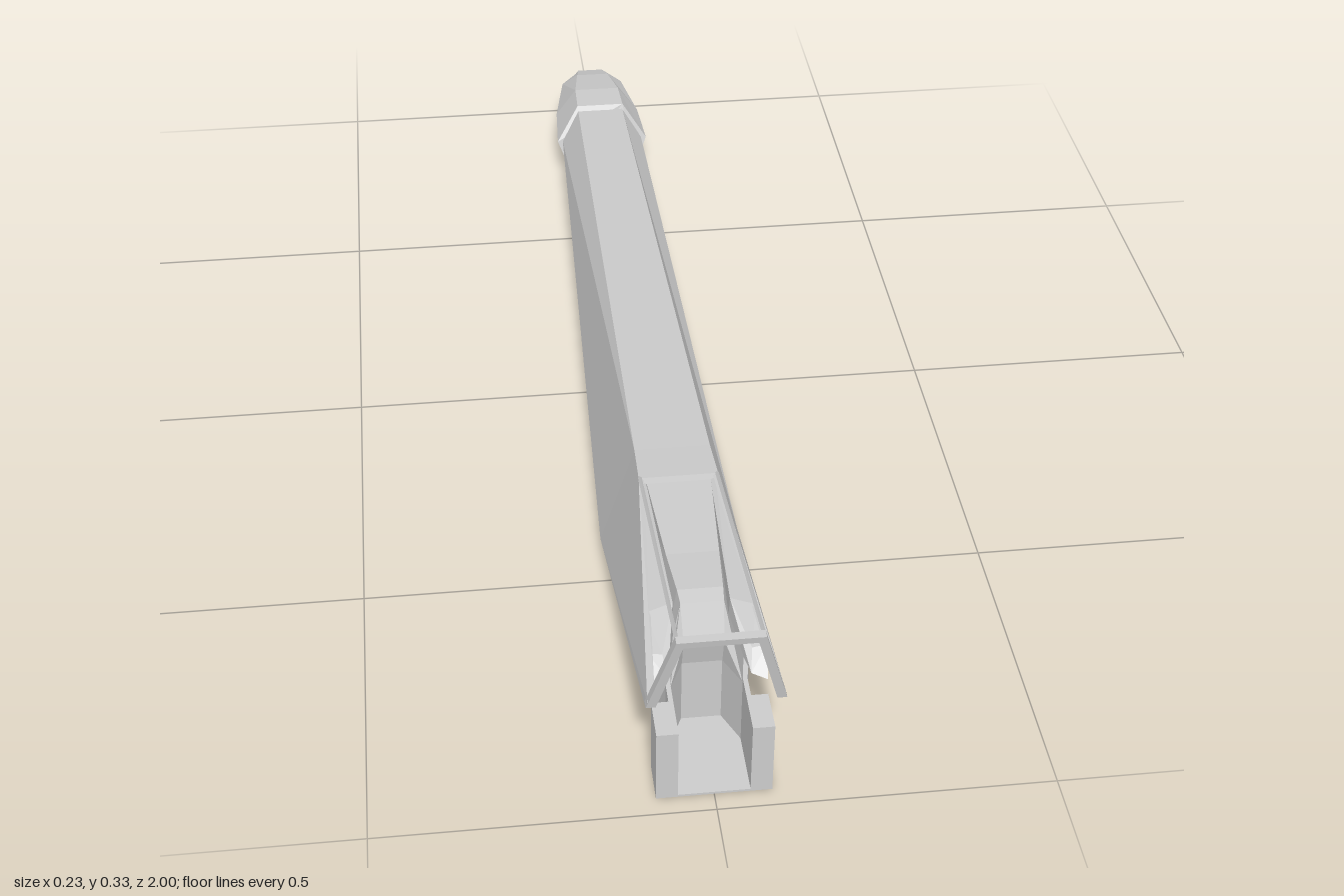
import * as THREE from 'three';

const grey = new THREE.MeshStandardMaterial({ color: 0xcccccc, side: THREE.DoubleSide, flatShading: true });
grey.name = 'hull grey';

const mirror = (pts) => pts.map(([x, y, z]) => [-x, y, z]);
// full ring from its +x half, listed top to bottom
const ring = (half) => [...half, ...mirror(half).reverse()];

// mesh from flat polygons, each a list of corners
function faces(name, polys) {
  const pos = [];
  for (const p of polys) {
    for (let i = 1; i < p.length - 1; i++) pos.push(...p[0], ...p[i], ...p[i + 1]);
  }
  const g = new THREE.BufferGeometry();
  g.setAttribute('position', new THREE.Float32BufferAttribute(pos, 3));
  g.computeVertexNormals();
  const m = new THREE.Mesh(g, grey);
  m.name = name;
  return m;
}

// skin over closed rings, ordered back to front, with end caps
function loft(name, rings, capBack = true, capFront = true) {
  const polys = [];
  for (let r = 0; r < rings.length - 1; r++) {
    const a = rings[r], b = rings[r + 1], n = a.length;
    for (let i = 0; i < n; i++) {
      const j = (i + 1) % n;
      polys.push([a[i], a[j], b[j], b[i]]);
    }
  }
  if (capBack) polys.push([...rings[0]].reverse());
  if (capFront) polys.push(rings[rings.length - 1]);
  return faces(name, polys);
}

// solid from a plan outline in x and z, between two heights
function planBlock(name, outline, y0, y1) {
  const shape = new THREE.Shape(outline.map(([x, z]) => new THREE.Vector2(x, -z)));
  const g = new THREE.ExtrudeGeometry(shape, { depth: y1 - y0, bevelEnabled: false });
  g.rotateX(-Math.PI / 2).translate(0, y0, 0);
  const m = new THREE.Mesh(g, grey);
  m.name = name;
  return m;
}

// thin straight rod
function rod(name, a, b, r) {
  const path = new THREE.LineCurve3(new THREE.Vector3(...a), new THREE.Vector3(...b));
  const m = new THREE.Mesh(new THREE.TubeGeometry(path, 1, r, 4), grey);
  m.name = name;
  return m;
}

export function createModel() {
  const model = new THREE.Group();

  // long tapering rear hull
  model.add(loft('rearHull', [
    ring([[0.045, 0.135, -0.77], [0.08, 0.085, -0.73]]),
    ring([[0.06, 0.225, 0.45], [0.113, 0.02, 0.42]]),
  ], true, false));

  // deck between the hull and the cockpit opening
  model.add(faces('foreDeck', [[
    [0.06, 0.225, 0.45], [-0.06, 0.225, 0.45], [-0.062, 0.234, 0.53], [0.062, 0.234, 0.53],
  ]]));

  // open-bottomed cockpit walls, rims, side consoles and canopy struts
  for (const s of [1, -1]) {
    const side = (pts) => (s > 0 ? pts : mirror(pts));
    model.add(faces('cockpitWall', [side([
      [0.113, 0.02, 0.42], [0.1, 0.182, 0.965], [0.098, 0.195, 0.97], [0.062, 0.234, 0.53], [0.06, 0.225, 0.45],
    ])]));
    model.add(faces('cockpitRim', [side([
      [0.062, 0.234, 0.53], [0.098, 0.195, 0.97], [0.086, 0.193, 0.96], [0.054, 0.23, 0.53],
    ])]));
    model.add(loft('sideConsole', [
      side([[0.058, 0.226, 0.53], [0.05, 0.222, 0.53], [0.05, 0.17, 0.53], [0.07, 0.17, 0.53]]),
      side([[0.081, 0.206, 0.8], [0.042, 0.222, 0.8], [0.04, 0.17, 0.8], [0.083, 0.165, 0.8]]),
      side([[0.086, 0.192, 0.87], [0.065, 0.188, 0.87], [0.06, 0.167, 0.9], [0.083, 0.162, 0.91]]),
    ]));
    const [a, b] = side([[0.06, 0.328, 0.992], [0.06, 0.235, 0.53]]);
    model.add(rod('canopyStrut', a, b, 0.003));
  }

  // canopy arch, leaning forward as it rises
  const arch = new THREE.Shape([
    [-0.1, 0.185], [-0.062, 0.332], [0.062, 0.332], [0.1, 0.185], [0.086, 0.185],
    [0.052, 0.32], [-0.052, 0.32], [-0.086, 0.185],
  ].map((p) => new THREE.Vector2(...p)));
  const archGeo = new THREE.ExtrudeGeometry(arch, { depth: 0.014, bevelEnabled: false });
  const p = archGeo.attributes.position;
  for (let i = 0; i < p.count; i++) p.setZ(i, p.getZ(i) + 0.956 + (p.getY(i) - 0.185) * 0.2);
  archGeo.computeVertexNormals();
  const archMesh = new THREE.Mesh(archGeo, grey);
  archMesh.name = 'canopyArch';
  model.add(archMesh);

  // footwell: two front pillars, concave walls and a floor
  const outer = [[0.085, 0.97], [0.085, 0.905], [0.06, 0.905], [0.06, 0.87], [0.07, 0.82], [0.07, 0.69]];
  const inner = [[0.03, 0.82], [0.053, 0.87], [0.053, 0.97]];
  const flip = (pts) => pts.map(([x, z]) => [-x, z]).reverse();
  model.add(planBlock('footwell', [...outer, ...flip(outer), ...flip(inner), ...inner], 0, 0.128));
  model.add(planBlock('footwellFloor', [...outer, ...flip(outer)], 0, 0.004));

  // seat back with a bevelled head, running back into the deck
  model.add(loft('seatBack', [
    ring([[0.05, 0.226, 0.535], [0.052, 0.17, 0.535]]),
    ring([[0.04, 0.226, 0.7], [0.056, 0.12, 0.69]]),
    ring([[0.034, 0.232, 0.785], [0.054, 0.12, 0.8]]),
    ring([[0.032, 0.228, 0.81], [0.053, 0.12, 0.82]]),
  ]));
  model.add(faces('seatCushion', [[
    [0.03, 0.12, 0.822], [0.03, 0.172, 0.835], [-0.03, 0.172, 0.835], [-0.03, 0.12, 0.822],
  ], [
    [0.03, 0.172, 0.835], [0.032, 0.228, 0.81], [-0.032, 0.228, 0.81], [-0.03, 0.172, 0.835],
  ], ...[1, -1].map((s) => [
    [s * 0.053, 0.12, 0.87], [s * 0.053, 0.172, 0.87], [s * 0.032, 0.228, 0.81],
    [s * 0.03, 0.172, 0.835], [s * 0.03, 0.12, 0.822],
  ])]));

  // tail pod
  model.add(loft('tailPod', [
    ring([[0.025, 0.095, -1], [0.03, 0.088, -1], [0.022, 0.08, -0.995]]),
    ring([[0.032, 0.118, -0.94], [0.062, 0.087, -0.96], [0.035, 0.06, -0.97]]),
    ring([[0.044, 0.14, -0.84], [0.084, 0.085, -0.84], [0.055, 0.026, -0.84]]),
    ring([[0.046, 0.145, -0.765], [0.09, 0.085, -0.73], [0.065, 0.02, -0.715]]),
  ]));

  return model;
}
